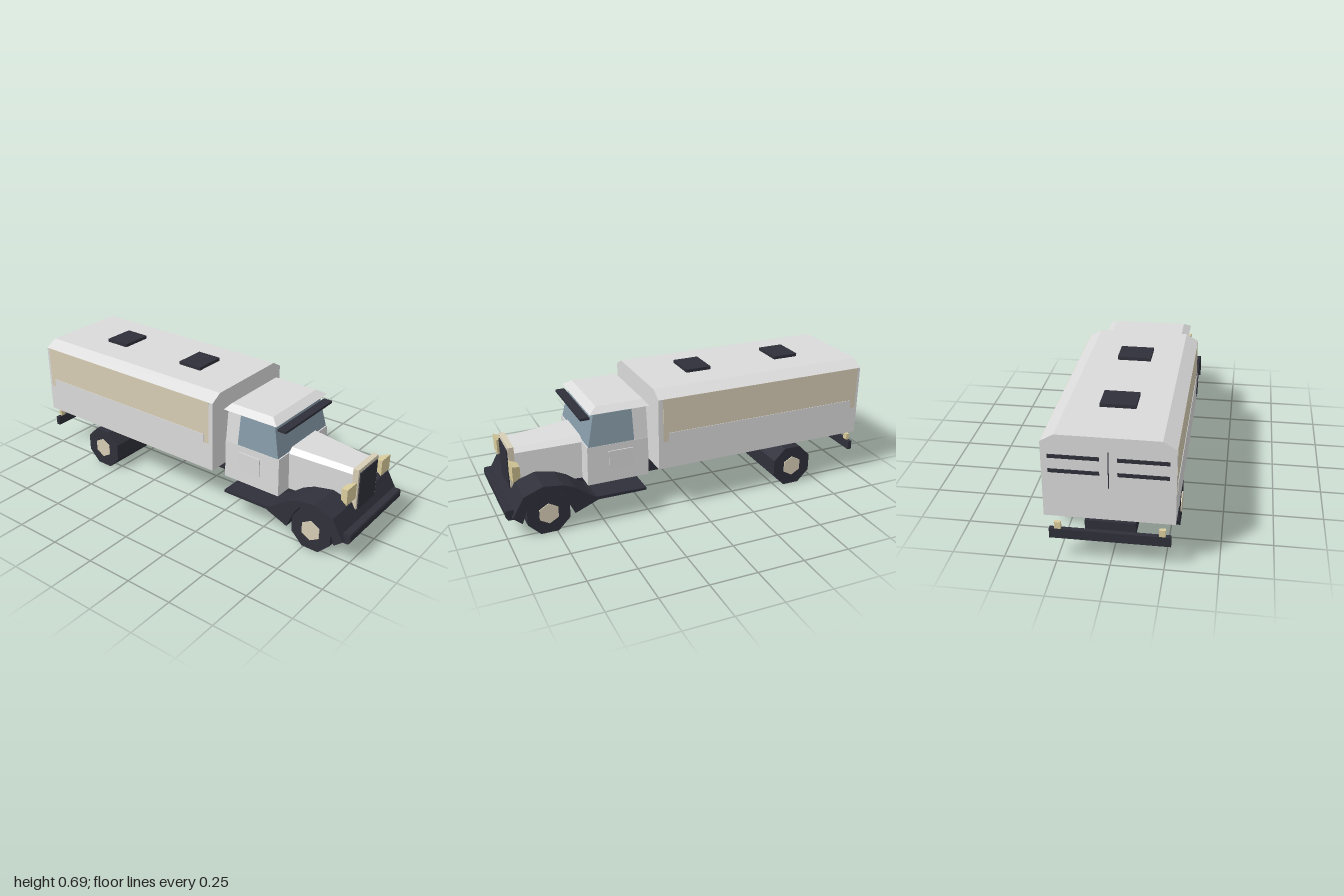
import * as THREE from 'three';

export function createModel() {
  const truck = new THREE.Group();
  truck.name = 'truck';
  const material = (name, color) => {
    const m = new THREE.MeshStandardMaterial({ color });
    m.name = name;
    return m;
  };
  const white = material('white paint', 0xdadada);
  const dark = material('dark metal', 0x2f303a);
  const beige = material('beige trim', 0xd8ceb6);
  const lampYellow = material('lamp yellow', 0xdacc9c);
  const glass = material('window glass', 0x8499a6);

  const add = (name, geometry, mat) => {
    const mesh = new THREE.Mesh(geometry, mat);
    mesh.name = name;
    truck.add(mesh);
    return mesh;
  };

  // Box given by its limits on each axis
  const box = (name, mat, [x0, x1], [y0, y1], [z0, z1]) => {
    const g = new THREE.BoxGeometry(x1 - x0, y1 - y0, z1 - z0);
    g.translate((x0 + x1) / 2, (y0 + y1) / 2, (z0 + z1) / 2);
    return add(name, g, mat);
  };

  // Flat-faced solid between two rings of points, turned outward by its signed volume
  const loft = (name, mat, a, b) => {
    const tris = [];
    const n = a.length;
    for (let i = 0; i < n; i++) {
      const j = (i + 1) % n;
      tris.push([a[i], a[j], b[j]], [a[i], b[j], b[i]]);
      if (i > 0 && i < n - 1) tris.push([a[0], a[j], a[i]], [b[0], b[i], b[j]]);
    }
    let volume = 0;
    for (const [p, q, r] of tris) {
      const [P, Q, R] = [p, q, r].map((v) => new THREE.Vector3(...v));
      volume += P.dot(Q.cross(R));
    }
    if (volume < 0) tris.forEach((t) => t.reverse());
    const g = new THREE.BufferGeometry();
    g.setAttribute('position', new THREE.Float32BufferAttribute(tris.flat(2), 3));
    g.computeVertexNormals();
    return add(name, g, mat);
  };
  const ringY = (x, y, z0, z1) => [[-x, y, z0], [x, y, z0], [x, y, z1], [-x, y, z1]];

  // Side profile of [z, y] points extruded across the width
  const across = (name, mat, points, halfWidth) => {
    const shape = new THREE.Shape(points.map(([z, y]) => new THREE.Vector2(z, y)));
    const g = new THREE.ExtrudeGeometry(shape, { depth: halfWidth * 2, bevelEnabled: false });
    g.translate(0, 0, -halfWidth);
    g.rotateY(-Math.PI / 2);
    return add(name, g, mat);
  };

  // Cargo body with chamfered roof edges
  const bodySection = (z) => [
    [-0.3, 0.25, z], [0.3, 0.25, z], [0.3, 0.633, z],
    [0.237, 0.67, z], [-0.237, 0.67, z], [-0.3, 0.633, z],
  ];
  loft('cargoBody', white, bodySection(0.205), bodySection(-0.995));
  box('underbodyPanel', beige, [-0.3, -0.11], [0.249, 0.2505], [-0.5, 0.205]);
  for (const z of [-0.115, -0.645]) {
    box('roofHatch', dark, [-0.085, 0.085], [0.668, 0.687], [z - 0.07, z + 0.07]);
  }

  // Rear doors: centre seam and vent slits
  box('doorSeam', dark, [-0.002, 0.002], [0.417, 0.6], [-0.998, -0.994]);
  for (const s of [-1, 1]) {
    for (const y of [0.49, 0.563]) {
      const slit = box('rearVent', dark, [-0.115, 0.115], [y - 0.009, y + 0.009], [-0.999, -0.994]);
      slit.position.x = s * 0.155;
    }
  }

  // Cab: lower body, glazed front, rear pillar, roof and sun visor
  loft('cabBody', white, ringY(0.232, 0.2, 0.235, 0.567), ringY(0.228, 0.407, 0.235, 0.562));
  loft('cabWindows', glass, ringY(0.227, 0.405, 0.31, 0.556), ringY(0.206, 0.588, 0.315, 0.515));
  loft('cabRearPillar', white, ringY(0.227, 0.405, 0.236, 0.31), ringY(0.206, 0.588, 0.236, 0.315));
  loft('cabRoof', white, ringY(0.236, 0.585, 0.228, 0.545), ringY(0.198, 0.612, 0.25, 0.5));
  box('sunVisor', dark, [-0.216, 0.216], [0.553, 0.566], [0.54, 0.588]);

  // Tapered bonnet, radiator frame and grille
  loft('bonnet', white,
    [[-0.137, 0.2, 0.56], [0.137, 0.2, 0.56], [0.137, 0.402, 0.56],
      [0.11, 0.428, 0.56], [-0.11, 0.428, 0.56], [-0.137, 0.402, 0.56]],
    [[-0.096, 0.2, 0.91], [0.096, 0.2, 0.91], [0.096, 0.385, 0.91],
      [0.073, 0.408, 0.91], [-0.073, 0.408, 0.91], [-0.096, 0.385, 0.91]]);
  box('radiatorFrame', beige, [-0.099, 0.099], [0.2, 0.42], [0.902, 0.932]);
  box('grille', dark, [-0.085, 0.085], [0.196, 0.4], [0.92, 0.938]);

  // Paired details on each side
  for (const s of [-1, 1]) {
    const span = (a, b) => (s > 0 ? [a, b] : [-b, -a]);
    box('sideTrim', beige, span(0.299, 0.301), [0.4, 0.633], [-0.98, 0.18]);
    box('sideRail', white, span(0.299, 0.3035), [0.4, 0.447], [-0.95, 0.15]);
    box('doorPanel', white, span(0.225, 0.2345), [0.27, 0.37], [0.32, 0.45]);
    box('tailLight', lampYellow, span(0.225, 0.255), [0.18, 0.215], [-0.998, -0.98]);
    const lampRing = (w, h, z) => [[-w, -h], [w, -h], [w, h], [-w, h]]
      .map(([x, y]) => [s * 0.173 + x, 0.328 + y, z]);
    loft('headlight', lampYellow, lampRing(0.044, 0.043, 0.942), lampRing(0.026, 0.03, 0.9));
  }

  // Front fenders running into the step boards
  across('fendersAndSteps', dark, [
    [0.972, 0.125], [0.91, 0.232], [0.81, 0.27], [0.71, 0.257], [0.65, 0.232], [0.57, 0.172],
    [0.54, 0.155], [0.27, 0.152], [0.27, 0.138], [0.53, 0.138], [0.655, 0.087],
    [0.695, 0.185], [0.725, 0.225], [0.84, 0.225], [0.9, 0.16], [0.925, 0.087],
  ], 0.283);

  // Chassis and bumpers
  box('chassis', dark, [-0.117, 0.117], [0.152, 0.224], [-0.975, 0.6]);
  across('frontBumper', dark, [
    [0.96, 0.163], [0.995, 0.163], [1, 0.155], [1, 0.123], [0.99, 0.108], [0.96, 0.108],
  ], 0.26);
  box('rearBumper', dark, [-0.28, 0.28], [0.13, 0.18], [-1, -0.978]);

  // Eight-sided wheel rollers with six-sided hubs at both ends
  const roller = (name, mat, sides, radius, halfWidth, z) => {
    const g = new THREE.CylinderGeometry(radius, radius, halfWidth * 2, sides).toNonIndexed();
    g.rotateZ(Math.PI / 2);
    g.rotateX(Math.PI / sides);
    g.translate(0, 0.11, z);
    g.computeVertexNormals();
    add(name, g, mat);
  };
  for (const [name, z, w] of [['front', 0.788, 0.27], ['rear', -0.597, 0.293]]) {
    roller(name + 'Wheels', dark, 8, 0.119, w, z);
    roller(name + 'Hubs', beige, 6, 0.056, w + 0.005, z);
  }

  return truck;
}
